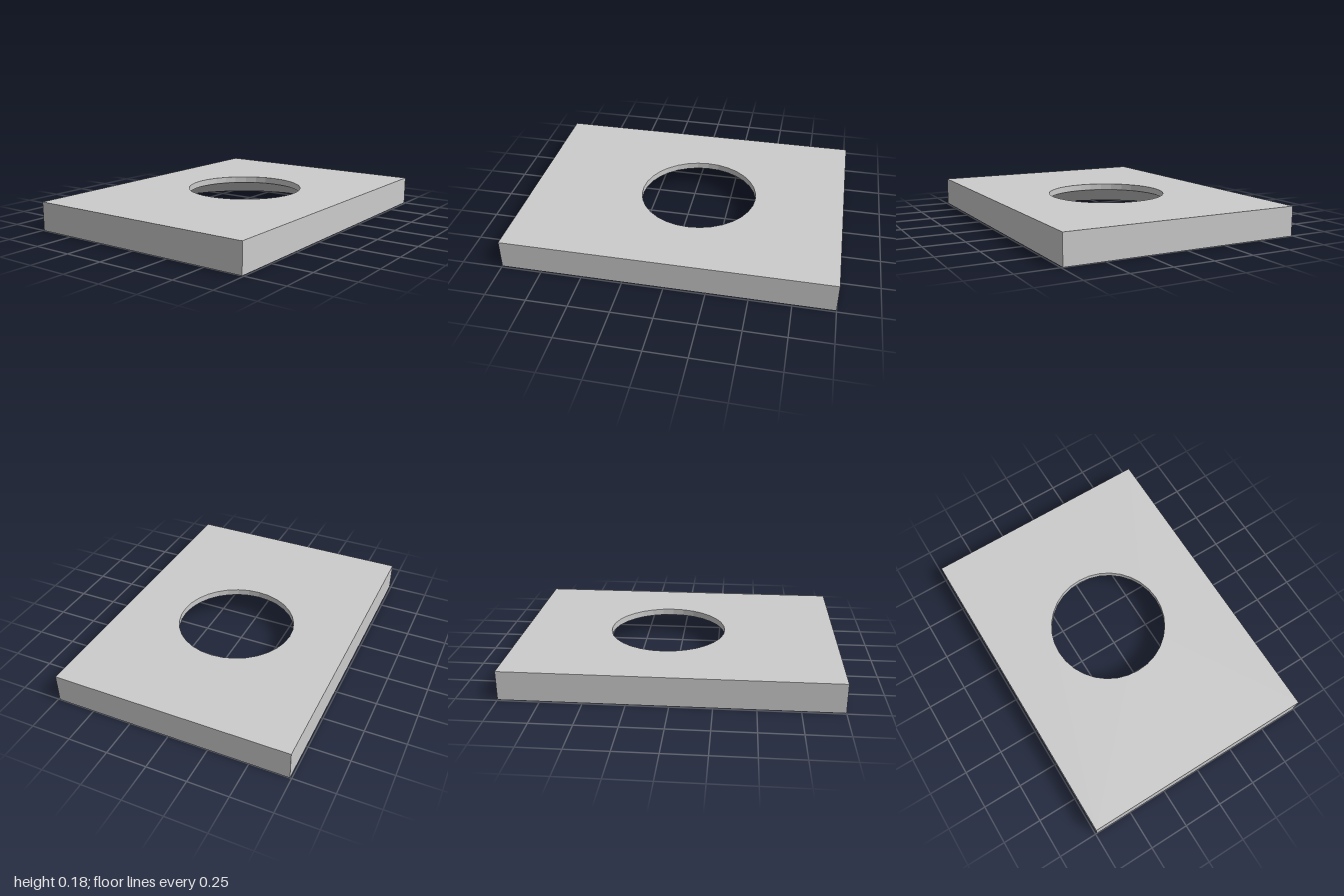
import * as THREE from 'three';

const W = 1.48, D = 2, H = 0.18;              // plate size
const HOLE_Z = -0.073, HOLE_R = 0.368;        // through hole
const SINK_R = 0.736, LIP_Y = 0.14, SIDES = 32; // countersink on the underside

export function createModel() {
  const group = new THREE.Group();
  group.name = 'plate';
  const material = new THREE.MeshStandardMaterial({ color: 0xcccccc, flatShading: true });

  const add = (name, geometry) => {
    const mesh = new THREE.Mesh(geometry, material);
    mesh.name = name;
    group.add(mesh);
    return mesh;
  };

  // Flat rectangular face with a round opening; dir is +1 facing up, -1 facing down
  const face = (radius, dir) => {
    const cy = -dir * HOLE_Z;
    const shape = new THREE.Shape([
      new THREE.Vector2(-W / 2, -D / 2), new THREE.Vector2(W / 2, -D / 2),
      new THREE.Vector2(W / 2, D / 2), new THREE.Vector2(-W / 2, D / 2),
    ]);
    shape.holes.push(new THREE.Path().absarc(0, cy, radius, 0, Math.PI * 2, true));
    return new THREE.ShapeGeometry(shape, SIDES / 2).rotateX(-dir * Math.PI / 2);
  };

  // Arcs are divided into twice the given curve segments, matching SIDES
  add('topFace', face(HOLE_R, 1)).position.y = H;
  add('bottomFace', face(SINK_R, -1));

  // Four outer walls: an open square tube stretched to the plate's size
  const r = Math.SQRT1_2;
  const walls = new THREE.CylinderGeometry(r, r, H, 4, 1, true, Math.PI / 4);
  add('outerWalls', walls.scale(W, 1, D)).position.y = H / 2;

  // Hole wall: short straight lip above, wide cone below, facing inwards
  const profile = [[HOLE_R, H], [HOLE_R, LIP_Y], [SINK_R, 0]].map(([x, y]) => new THREE.Vector2(x, y));
  add('countersunkHole', new THREE.LatheGeometry(profile, SIDES)).position.z = HOLE_Z;

  return group;
}
